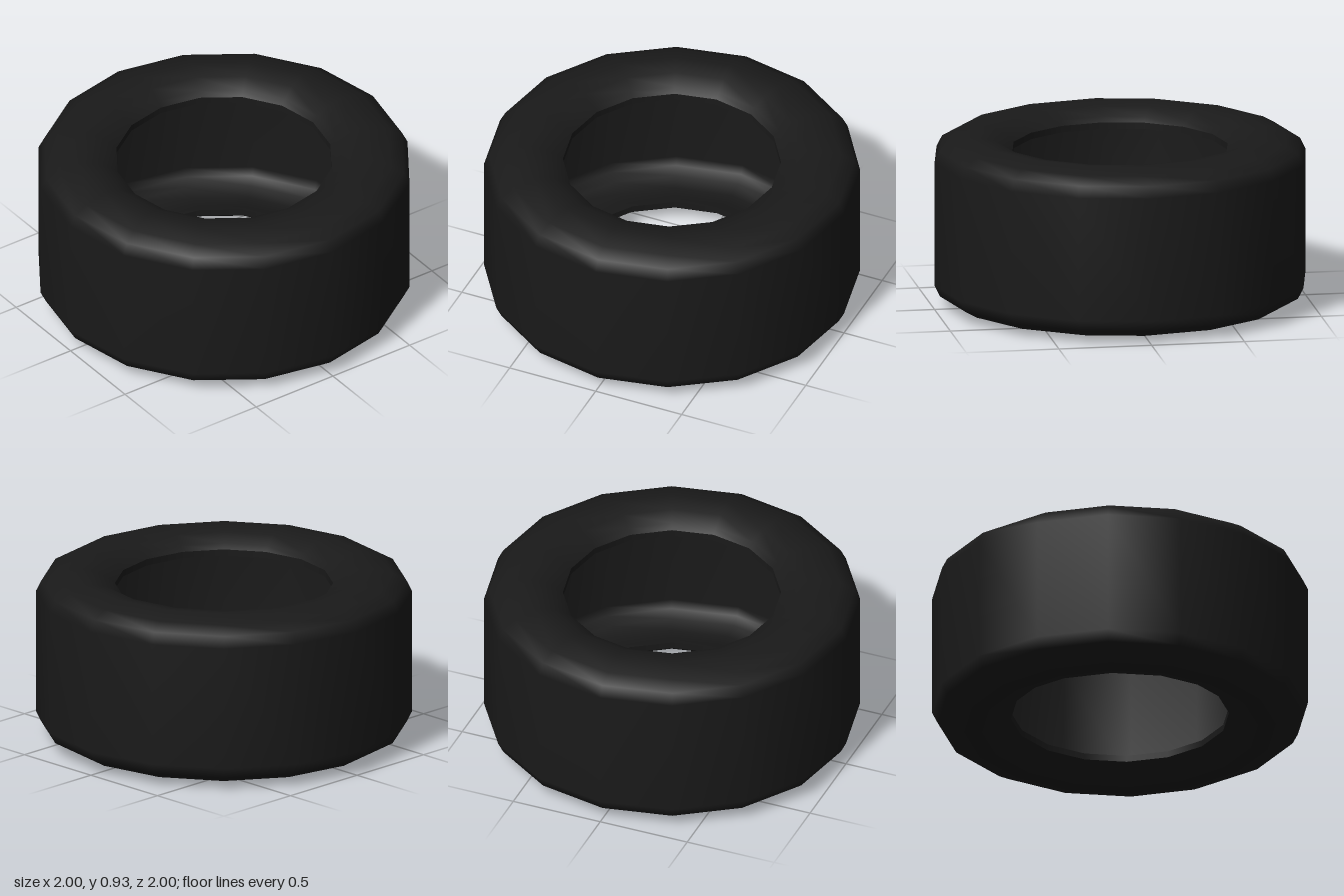
import * as THREE from 'three';

const HEIGHT = 0.93;
const SIDES = 16;

// Lower half of a [radius, height] profile, continued by its mirror image
function mirrorProfile(half) {
  const upper = half.map(([r, y]) => [r, HEIGHT - y]).reverse();
  return [...half, ...upper];
}

export function createModel() {
  const group = new THREE.Group();
  group.name = 'tyre';
  const rubber = new THREE.MeshStandardMaterial({ color: 0x1a1a1a });

  function addRing(name, profile) {
    const points = profile.map(([r, y]) => new THREE.Vector2(r, y));
    const mesh = new THREE.Mesh(new THREE.LatheGeometry(points, SIDES), rubber);
    mesh.name = name;
    group.add(mesh);
  }

  // Tread with rounded shoulders, and sidewalls dipping towards the hole
  addRing('treadAndSidewalls', mirrorProfile([
    [0.58, 0.085], [0.61, 0.06], [0.68, 0.02], [0.78, 0],
    [0.9, 0.03], [0.97, 0.07], [1, 0.13],
  ]));

  // Hollow inside, facing the axle, so its profile runs downwards
  addRing('innerLining', mirrorProfile([
    [0.58, 0.12], [0.64, 0.1], [0.7, 0.075], [0.78, 0.06],
    [0.86, 0.08], [0.905, 0.115], [0.925, 0.16],
  ]).reverse());

  // Narrow bead around the hole on each side
  addRing('lowerBead', [[0.58, 0.12], [0.58, 0.085]]);
  addRing('upperBead', [[0.58, HEIGHT - 0.085], [0.58, HEIGHT - 0.12]]);

  return group;
}
